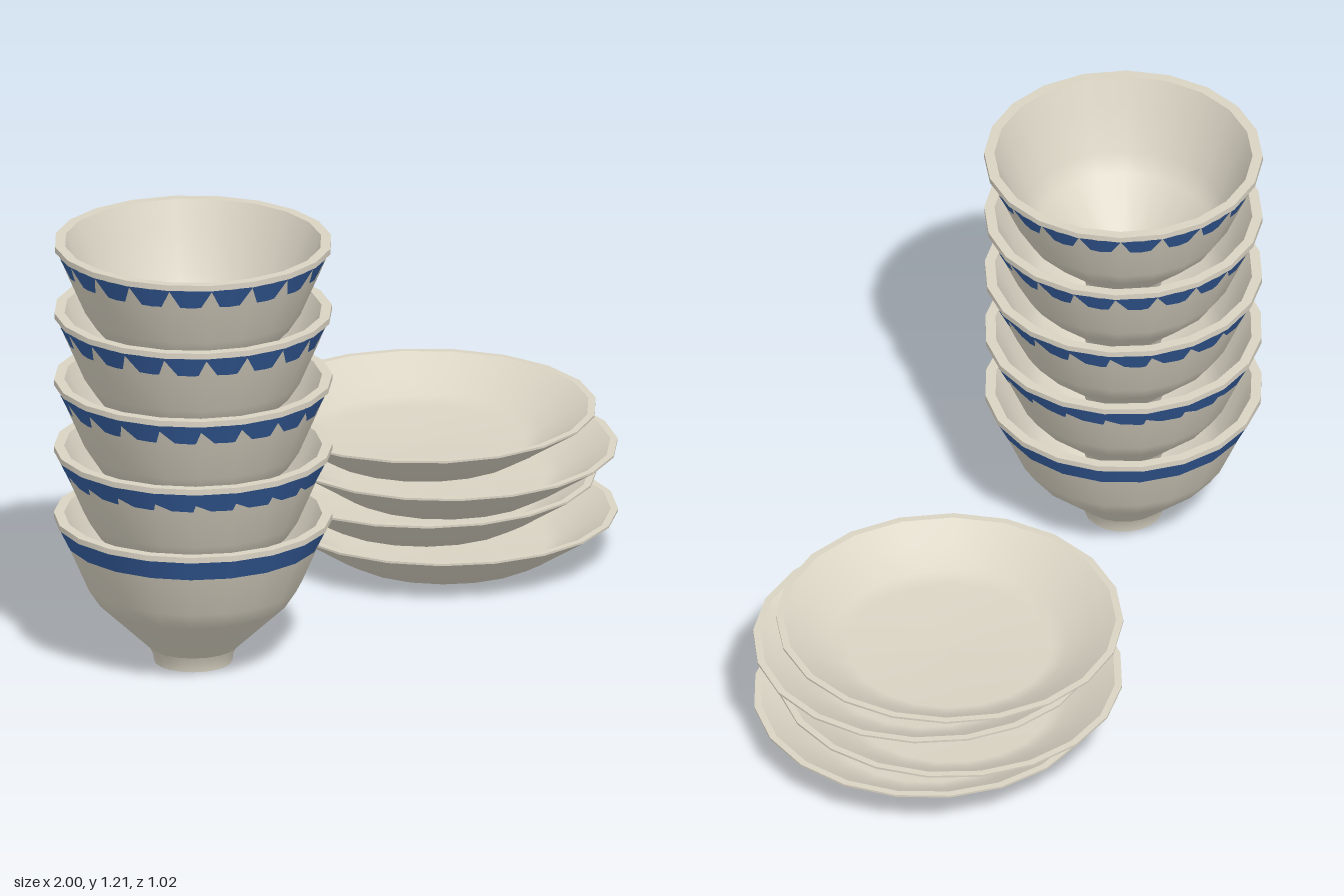
import * as THREE from 'three';

const SIDES = 20;
const clay = new THREE.MeshStandardMaterial({ color: 0xd9d3c3 });
clay.name = 'creamCeramic';
const glaze = new THREE.MeshStandardMaterial({ color: 0x365fa0 });
glaze.name = 'blueGlaze';

// One smooth turned surface per profile; separate profiles keep edges sharp
function turned(name, points, material) {
  const profile = points.map(([r, y]) => new THREE.Vector2(r, y));
  const mesh = new THREE.Mesh(new THREE.LatheGeometry(profile, SIDES), material);
  mesh.name = name;
  return mesh;
}

function createBowl(turn) {
  const bowl = new THREE.Group();
  const body = new THREE.Group();
  body.name = 'bowlBody';
  body.rotation.y = turn;
  body.add(
    turned('footBase', [[0, 0], [0.107, 0]], clay),
    turned('foot', [[0.107, 0], [0.11, 0.02], [0.122, 0.045]], clay),
    turned('outerWall', [[0.122, 0.045], [0.265, 0.18], [0.298, 0.23], [0.35, 0.35], [0.374, 0.408]], clay),
    turned('lipUnderside', [[0.374, 0.408], [0.381, 0.409]], clay),
    turned('lipEdge', [[0.381, 0.409], [0.381, 0.425]], clay),
    turned('lipTop', [[0.381, 0.425], [0.353, 0.425]], clay),
    turned('innerWall', [[0.353, 0.425], [0.322, 0.35], [0.272, 0.23], [0.238, 0.18], [0.107, 0.06]], clay),
    turned('innerFloor', [[0.107, 0.06], [0, 0.06]], clay),
  );
  // The band keeps its own facing, so the turned body cuts teeth into it
  const band = turned('blueBand', [[0.3502, 0.35], [0.3795, 0.409]], glaze);
  bowl.add(body, band);
  return bowl;
}

function createPlate() {
  const plate = new THREE.Group();
  plate.add(
    turned('plateBase', [[0, 0], [0.28, 0]], clay),
    turned('plateUnderside', [[0.28, 0], [0.325, 0.025], [0.40, 0.073], [0.475, 0.12]], clay),
    turned('plateEdge', [[0.475, 0.12], [0.475, 0.126]], clay),
    turned('plateRim', [[0.475, 0.126], [0.455, 0.126]], clay),
    turned('plateInside', [[0.455, 0.126], [0.39, 0.083], [0.325, 0.043], [0.28, 0.028], [0, 0.022]], clay),
  );
  return plate;
}

export function createModel() {
  const model = new THREE.Group();
  model.name = 'stackedDishes';

  // Nested bowls, each turned a little further than the one below
  const bowls = new THREE.Group();
  bowls.name = 'bowlStack';
  for (let i = 0; i < 5; i++) {
    const bowl = createBowl(THREE.MathUtils.degToRad(2.25 * i));
    bowl.name = 'bowl' + (i + 1);
    bowl.position.set(-0.619, 0.1965 * i, 0.036);
    bowls.add(bowl);
  }

  // Plates shifted alternately forward and back
  const plates = new THREE.Group();
  plates.name = 'plateStack';
  for (let i = 0; i < 4; i++) {
    const plate = createPlate();
    plate.name = 'plate' + (i + 1);
    plate.position.set(0.52, 0.0937 * i, i % 2 ? -0.036 : 0.036);
    plate.rotation.y = THREE.MathUtils.degToRad(3 * i);
    plates.add(plate);
  }

  model.add(bowls, plates);
  return model;
}
